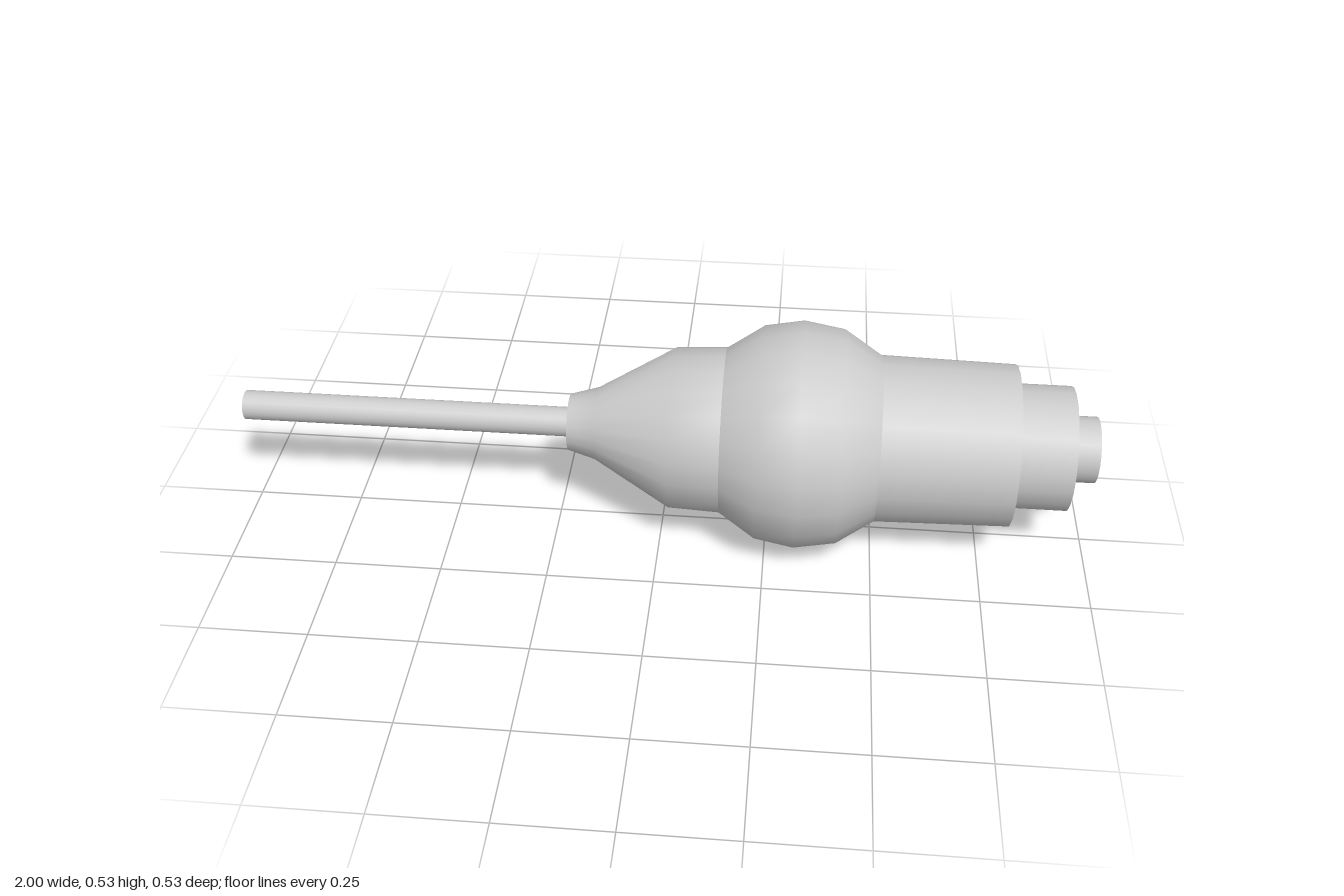
import * as THREE from 'three';
import { mergeGeometries } from 'three/addons/utils/BufferGeometryUtils.js';

const SIDES = 21;
const AXIS_Y = 0.266;
const AXIS_Z = 0.003;

// Each band is a list of [x, radius]; normals are smooth in a band, sharp between bands
function turned(name, bands, material) {
  const geometry = mergeGeometries(bands.map((band) => new THREE.LatheGeometry(
    band.map(([x, r]) => new THREE.Vector2(r, x)), SIDES, Math.PI)));
  geometry.rotateZ(-Math.PI / 2);
  const mesh = new THREE.Mesh(geometry, material);
  mesh.name = name;
  return mesh;
}

export function createModel() {
  const model = new THREE.Group();
  model.name = 'cablePlug';
  const grey = new THREE.MeshStandardMaterial({ color: 0xcccccc });

  // Parts along the x axis, from cable to contact
  const parts = {
    cable: [
      [[-1, 0], [-1, 0.035]],
      [[-1, 0.035], [-0.2, 0.035]],
    ],
    strainRelief: [
      [[-0.22, 0], [-0.22, 0.067]],
      [[-0.22, 0.067], [-0.155, 0.086], [0.024, 0.19], [0.142, 0.195]],
    ],
    gripBulge: [
      [[0.142, 0.195], [0.227, 0.251], [0.318, 0.267], [0.414, 0.251], [0.5, 0.195]],
    ],
    barrel: [
      [[0.5, 0.195], [0.808, 0.189]],
      [[0.808, 0.189], [0.808, 0]],
    ],
    collar: [
      [[0.8, 0.145], [0.938, 0.145]],
      [[0.938, 0.145], [0.938, 0]],
    ],
    // Hollow sleeve: outer wall, rim, inner wall
    contactSleeve: [
      [[0.93, 0.077], [1, 0.077]],
      [[1, 0.077], [1, 0.063]],
      [[1, 0.063], [0.938, 0.063]],
    ],
  };
  for (const [name, bands] of Object.entries(parts)) {
    model.add(turned(name, bands, grey));
  }

  for (const part of model.children) part.position.set(0, AXIS_Y, AXIS_Z);
  return model;
}
